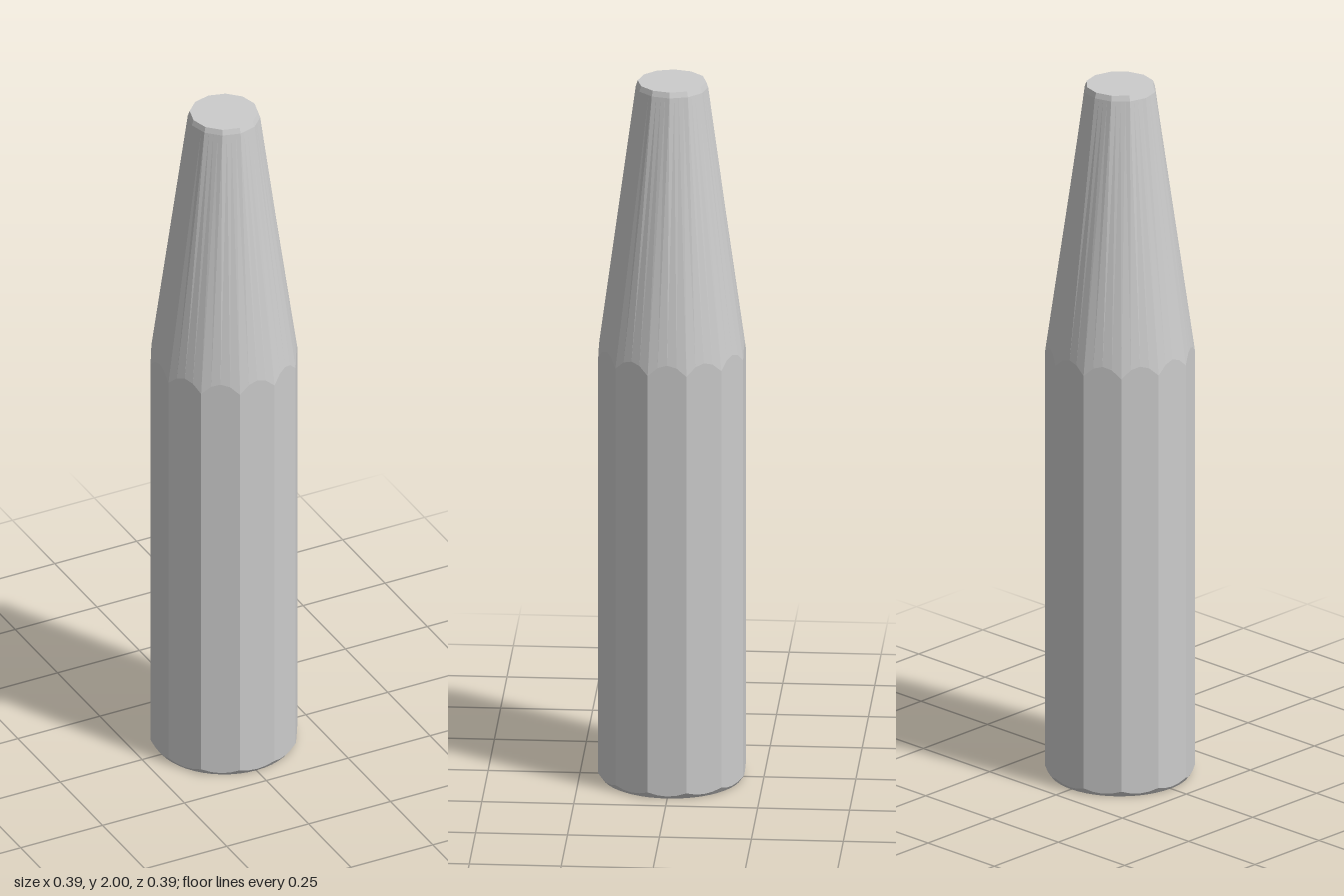
import * as THREE from 'three';
import { mergeVertices } from 'three/addons/utils/BufferGeometryUtils.js';

const STEPS = 48;
const SECTOR = Math.PI / 6;

// Radius of a regular 12-sided outline; turn moves its corners around the axis.
function outline(angle, apothem, turn) {
  const a = (((angle - turn) % SECTOR) + SECTOR) % SECTOR;
  return apothem / Math.cos(a - SECTOR / 2);
}

// Skins a stack of rings, each a function angle -> [radius, height], and caps both ends.
function loft(rings) {
  const positions = [];
  const point = (ring, i) => {
    const angle = ((i % STEPS) / STEPS) * Math.PI * 2;
    const [r, y] = ring(angle);
    return [r * Math.sin(angle), y, r * Math.cos(angle)];
  };
  const last = rings[rings.length - 1];
  for (let i = 0; i < STEPS; i++) {
    for (let k = 0; k < rings.length - 1; k++) {
      const a = point(rings[k], i);
      const b = point(rings[k], i + 1);
      const c = point(rings[k + 1], i + 1);
      const d = point(rings[k + 1], i);
      positions.push(...a, ...b, ...c, ...a, ...c, ...d);
    }
    positions.push(0, 0, 0, ...point(rings[0], i + 1), ...point(rings[0], i));
    positions.push(0, 2, 0, ...point(last, i), ...point(last, i + 1));
  }
  const geometry = new THREE.BufferGeometry();
  geometry.setAttribute('position', new THREE.Float32BufferAttribute(positions, 3));
  const merged = mergeVertices(geometry);
  merged.computeVertexNormals();
  return merged;
}

export function createModel() {
  const group = new THREE.Group();
  group.name = 'taperedRod';
  const material = new THREE.MeshStandardMaterial({ color: 0xcccccc, flatShading: true });

  const body = (angle) => outline(angle, 0.197, SECTOR / 2);
  const tip = (angle, apothem) => outline(angle, apothem, 0);

  const rings = [
    // Narrow chamfer around the base
    (t) => [0.191, 0],
    (t) => [body(t), 0.008 + (body(t) - 0.197) * 1.5],
    // Scalloped shoulder where the cone meets the flat sides
    (t) => [body(t), 1.25 - (body(t) - 0.197) * 4.5],
    // Tapered neck and its small top bevel
    (t) => [tip(t, 0.095), 1.985],
    (t) => [tip(t, 0.09), 2],
  ];
  const rod = new THREE.Mesh(loft(rings), material);
  rod.name = 'rod';
  group.add(rod);
  return group;
}
